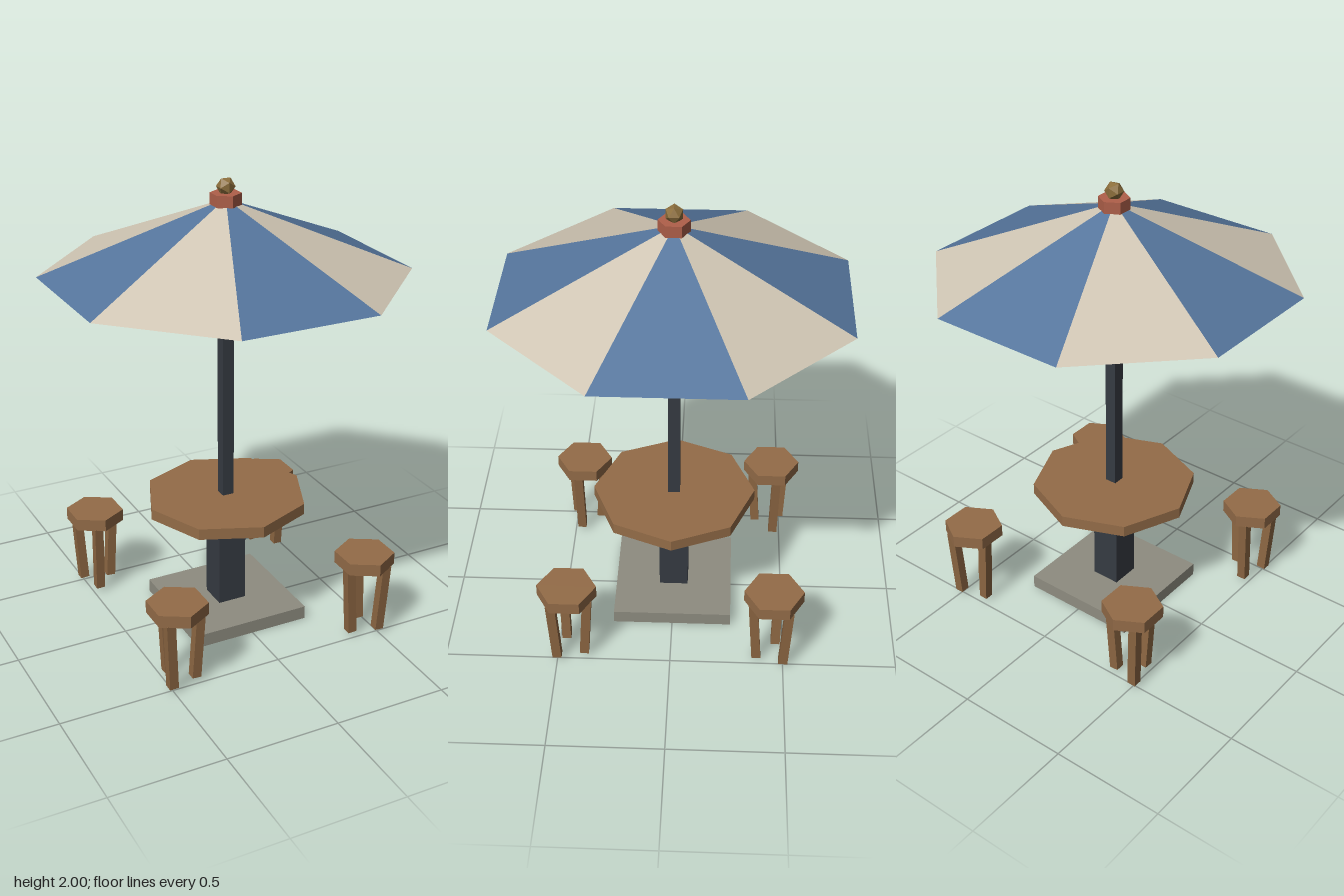
import * as THREE from 'three';

const paint = (color, side = THREE.FrontSide) =>
  new THREE.MeshStandardMaterial({ color, flatShading: true, side });

export function createModel() {
  const model = new THREE.Group();
  model.name = 'parasolTable';

  const wood = paint(0x946c48);
  const legWood = paint(0x8c6642);
  const metal = paint(0x363b42);
  const stone = paint(0x8e8c80);
  const red = paint(0xb0604a);
  const brass = paint(0x8c6e3c);
  const blue = paint(0x55759c, THREE.DoubleSide);
  const cream = paint(0xd0c6b4, THREE.DoubleSide);

  function add(parent, name, geometry, material, x, y, z) {
    const mesh = new THREE.Mesh(geometry, material);
    mesh.name = name;
    mesh.position.set(x, y, z);
    parent.add(mesh);
    return mesh;
  }
  // Upright parts on the central axis, given by bottom and top height
  const post = (name, width, y0, y1, material) =>
    add(model, name, new THREE.BoxGeometry(width, y1 - y0, width), material, 0, (y0 + y1) / 2, 0);
  const disc = (parent, name, r, sides, y0, y1, material) =>
    add(parent, name, new THREE.CylinderGeometry(r, r, y1 - y0, sides), material, 0, (y0 + y1) / 2, 0);

  // Base, pedestal, table and pole
  post('base', 0.53, 0, 0.06, stone);
  post('pedestal', 0.13, 0.06, 0.53, metal);
  disc(model, 'tabletop', 0.36, 8, 0.53, 0.58, wood);
  post('pole', 0.052, 0.58, 1.72, metal);

  // Open eight-panel canopy in alternating colours
  const canopy = new THREE.Group();
  canopy.name = 'canopy';
  model.add(canopy);
  const step = Math.PI / 4;
  for (let i = 0; i < 8; i++) {
    const panel = new THREE.ConeGeometry(0.78, 0.315, 1, 1, true, (i - 0.5) * step, step);
    add(canopy, 'canopyPanel', panel, i % 2 ? cream : blue, 0, 1.7575, 0);
  }

  // Collar and finial
  disc(model, 'collar', 0.065, 6, 1.89, 1.94, red);
  add(model, 'finial', new THREE.IcosahedronGeometry(0.04, 0), brass, 0, 1.966, 0);

  // Four stools on the diagonals, each with one leg pointing away from the table
  for (let i = 0; i < 4; i++) {
    const out = (i + 0.5) * Math.PI / 2;
    const stool = new THREE.Group();
    stool.name = 'stool';
    stool.position.set(0.45 * Math.SQRT2 * Math.cos(out), 0, 0.45 * Math.SQRT2 * Math.sin(out));
    model.add(stool);
    disc(stool, 'seat', 0.13, 6, 0.335, 0.39, wood);
    for (let k = 0; k < 3; k++) {
      const a = out + k * Math.PI * 2 / 3;
      const c = Math.cos(a), s = Math.sin(a);
      const leg = add(stool, 'stoolLeg', new THREE.BoxGeometry(0.04, 0.32, 0.04), legWood,
        0.082 * c, 0.18, 0.082 * s);
      // Legs splay slightly outward towards the top
      leg.rotation.set(0.07 * s, 0, -0.07 * c);
    }
  }
  return model;
}
